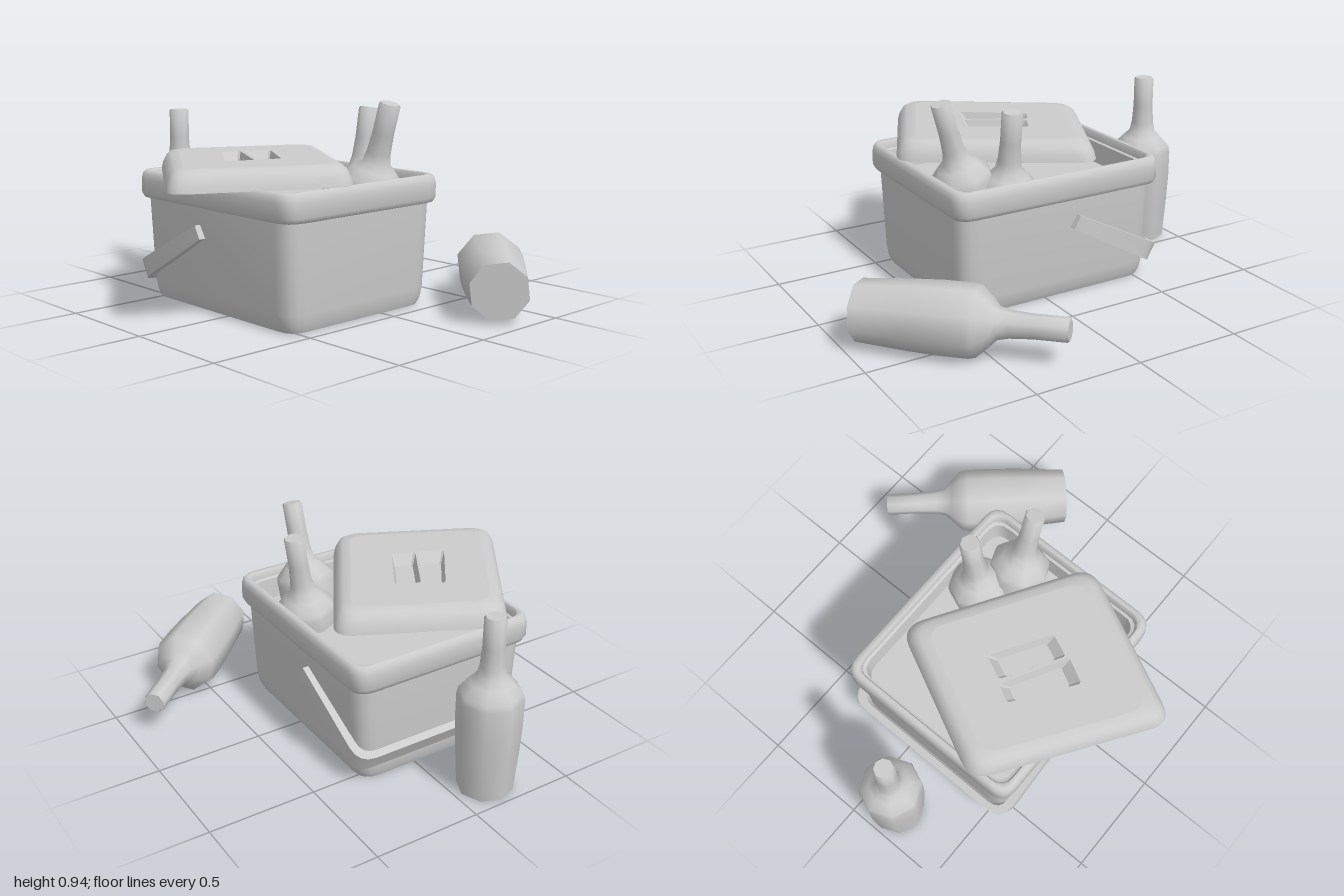
import * as THREE from 'three';
import { toCreasedNormals } from 'three/addons/utils/BufferGeometryUtils.js';

const material = new THREE.MeshStandardMaterial({ color: 0xcccccc, side: THREE.DoubleSide });

function part(name, geometry, crease = 0.75) {
  const mesh = new THREE.Mesh(toCreasedNormals(geometry, crease), material);
  mesh.name = name;
  return mesh;
}

// Outline of [x, z] corners (clockwise from above) with each corner rounded off
function roundPoly(corners, r, steps = 4) {
  const pts = [];
  const v = corners.map(c => new THREE.Vector2(...c));
  v.forEach((p, i) => {
    const toward = q => q.clone().sub(p).setLength(r).add(p);
    const a = toward(v[(i + v.length - 1) % v.length]);
    const b = toward(v[(i + 1) % v.length]);
    pts.push(...new THREE.QuadraticBezierCurve(a, p, b).getPoints(steps));
  });
  return pts;
}

const scaled = (pts, c, s) => pts.map(p => p.clone().sub(c).multiplyScalar(s).add(c));

// Skin over a stack of rings { pts, y }, with optional flat caps
function loft(rings, capStart, capEnd) {
  const n = rings[0].pts.length, pos = [], idx = [];
  rings.forEach(({ pts, y }) => pts.forEach(p => pos.push(p.x, y, p.y)));
  for (let k = 0; k < rings.length - 1; k++) {
    for (let i = 0; i < n; i++) {
      const j = (i + 1) % n, a = k * n, b = a + n;
      idx.push(a + i, b + i, b + j, a + i, b + j, a + j);
    }
  }
  const cap = (k, up) => {
    const { pts, y } = rings[k], c = pos.length / 3;
    const m = pts.reduce((s, p) => s.add(p), new THREE.Vector2()).divideScalar(n);
    pos.push(m.x, y, m.y);
    for (let i = 0; i < n; i++) {
      const a = k * n + i, b = k * n + (i + 1) % n;
      idx.push(c, up ? b : a, up ? a : b);
    }
  };
  if (capStart) cap(0, false);
  if (capEnd) cap(rings.length - 1, true);
  const g = new THREE.BufferGeometry();
  g.setAttribute('position', new THREE.Float32BufferAttribute(pos, 3));
  g.setIndex(idx);
  return g;
}

// Box: tapered wall open below, rolled rim, shallow inner floor
const CX = -0.13, CZ = -0.063;
function makeBox() {
  const profile = [ // half width, half depth, y, corner radius
    [0.402, 0.485, 0, 0.08], [0.417, 0.497, 0.03, 0.09], [0.425, 0.503, 0.08, 0.09],
    [0.442, 0.512, 0.47, 0.09], [0.458, 0.528, 0.475, 0.08], [0.467, 0.537, 0.495, 0.08],
    [0.467, 0.537, 0.56, 0.08], [0.462, 0.532, 0.587, 0.08], [0.45, 0.52, 0.6, 0.07],
    [0.434, 0.504, 0.6, 0.07], [0.427, 0.497, 0.59, 0.07], [0.425, 0.495, 0.56, 0.07],
    [0.413, 0.483, 0.555, 0.07], [0.405, 0.475, 0.455, 0.07],
  ];
  const rings = profile.map(([w, d, y, r]) => ({
    pts: roundPoly([[CX - w, CZ - d], [CX + w, CZ - d], [CX + w, CZ + d], [CX - w, CZ + d]], r),
    y,
  }));
  return part('box', loft(rings, false, true), 0.9);
}

// Handle: U-shaped band swung down behind the box, narrowing toward its pivots
function makeHandle() {
  const length = 0.525;
  const arm = (w, len, r) => {
    const bend = (x, y, from, to) => new THREE.QuadraticBezierCurve(
      new THREE.Vector2(...from), new THREE.Vector2(x, y), new THREE.Vector2(...to)).getPoints(4);
    return [
      new THREE.Vector2(-w, 0), ...bend(-w, len, [-w, len - r], [-w + r, len]),
      ...bend(w, len, [w - r, len], [w, len - r]), new THREE.Vector2(w, 0),
    ];
  };
  const shape = new THREE.Shape([...arm(0.468, length, 0.09), ...arm(0.43, length - 0.035, 0.07).reverse()]);
  const g = new THREE.ExtrudeGeometry(shape, { depth: 0.09, bevelEnabled: false });
  g.translate(0, 0, -0.045);
  const p = g.attributes.position;
  for (let i = 0; i < p.count; i++) p.setZ(i, p.getZ(i) * (0.75 + 0.25 * p.getY(i) / length));
  const handle = part('handle', g, 0.6);
  handle.rotation.x = -2.07;
  handle.position.set(CX, 0.365, -0.13);
  return handle;
}

// Lid: skewed slab with sloped sides and two finger slots
function makeLid() {
  const lid = new THREE.Group();
  lid.name = 'lid';
  const centre = new THREE.Vector2(-0.34, -0.07);
  const outline = roundPoly([[-0.43, -0.63], [0.265, -0.29], [-0.225, 0.495], [-0.95, 0.14]], 0.1, 6);
  const sides = [[1, 0.6], [0.985, 0.63], [0.94, 0.668], [0.89, 0.684], [0.8, 0.69]];
  lid.add(part('lidSides', loft(sides.map(([s, y]) => ({ pts: scaled(outline, centre, s), y })), true, false), 0.9));

  const slots = [
    [[-0.345, -0.275], [-0.265, -0.235], [-0.425, 0.06], [-0.54, 0.0]],
    [[-0.25, -0.215], [-0.14, -0.165], [-0.305, 0.1], [-0.41, 0.055]],
  ].map(c => roundPoly(c, 0.01, 1));
  const flip = pts => pts.map(p => new THREE.Vector2(p.x, -p.y));
  const top = new THREE.Shape(flip(scaled(outline, centre, 0.8)));
  top.holes = slots.map(s => new THREE.Path(flip(s)));
  const topGeo = new THREE.ShapeGeometry(top).rotateX(-Math.PI / 2).translate(0, 0.69, 0);
  lid.add(part('lidTop', topGeo));

  slots.forEach(s => {
    const c = s.reduce((a, p) => a.add(p), new THREE.Vector2()).divideScalar(s.length);
    lid.add(part('fingerSlot', loft([{ pts: s, y: 0.69 }, { pts: scaled(s, c, 0.75), y: 0.64 }], false, true), 0.4));
  });
  return lid;
}

// Bottle: eight-sided lathe placed by its mouth and axis, optionally cut off below
const HEIGHT = 0.84;
function makeBottle(name, mouth, axis, { scale = 1, cut = 0, spin = 0 } = {}) {
  const profile = [
    [0.124, 0], [0.138, 0.2], [0.144, 0.33], [0.144, 0.46], [0.137, 0.49], [0.095, 0.535],
    [0.064, 0.565], [0.054, 0.61], [0.048, 0.7], [0.048, 0.832], [0.043, HEIGHT],
  ].filter(p => p[1] > cut || cut === 0);
  if (cut) profile.unshift([0.142, cut]);
  const pts = [[0, cut], ...profile, [0, HEIGHT]].map(p => new THREE.Vector2(...p));
  const bottle = part(name, new THREE.LatheGeometry(pts, 8), 0.95);
  const dir = new THREE.Vector3(...axis).normalize();
  bottle.quaternion.setFromUnitVectors(new THREE.Vector3(0, 1, 0), dir);
  bottle.rotateY(spin);
  bottle.scale.setScalar(scale);
  bottle.position.set(...mouth).addScaledVector(dir, -HEIGHT * scale);
  return bottle;
}

export function createModel() {
  const model = new THREE.Group();
  model.name = 'coolBoxWithBottles';
  model.add(
    makeBox(),
    makeHandle(),
    makeLid(),
    makeBottle('standingBottle', [-0.157, 0.84, -0.855], [0, 1, 0]),
    makeBottle('lyingBottle', [0.888, 0.17, 0.272], [0.66, 0.025, -0.63], { scale: 1.085, spin: 0.25 }),
    makeBottle('frontBottleInBox', [0.059, 0.93, 0.408], [0.02, 0.96, 0.27], { cut: 0.35 }),
    makeBottle('rearBottleInBox', [0.208, 0.89, 0.135], [0.14, 0.98, 0.015], { cut: 0.4 }),
  );
  return model;
}
